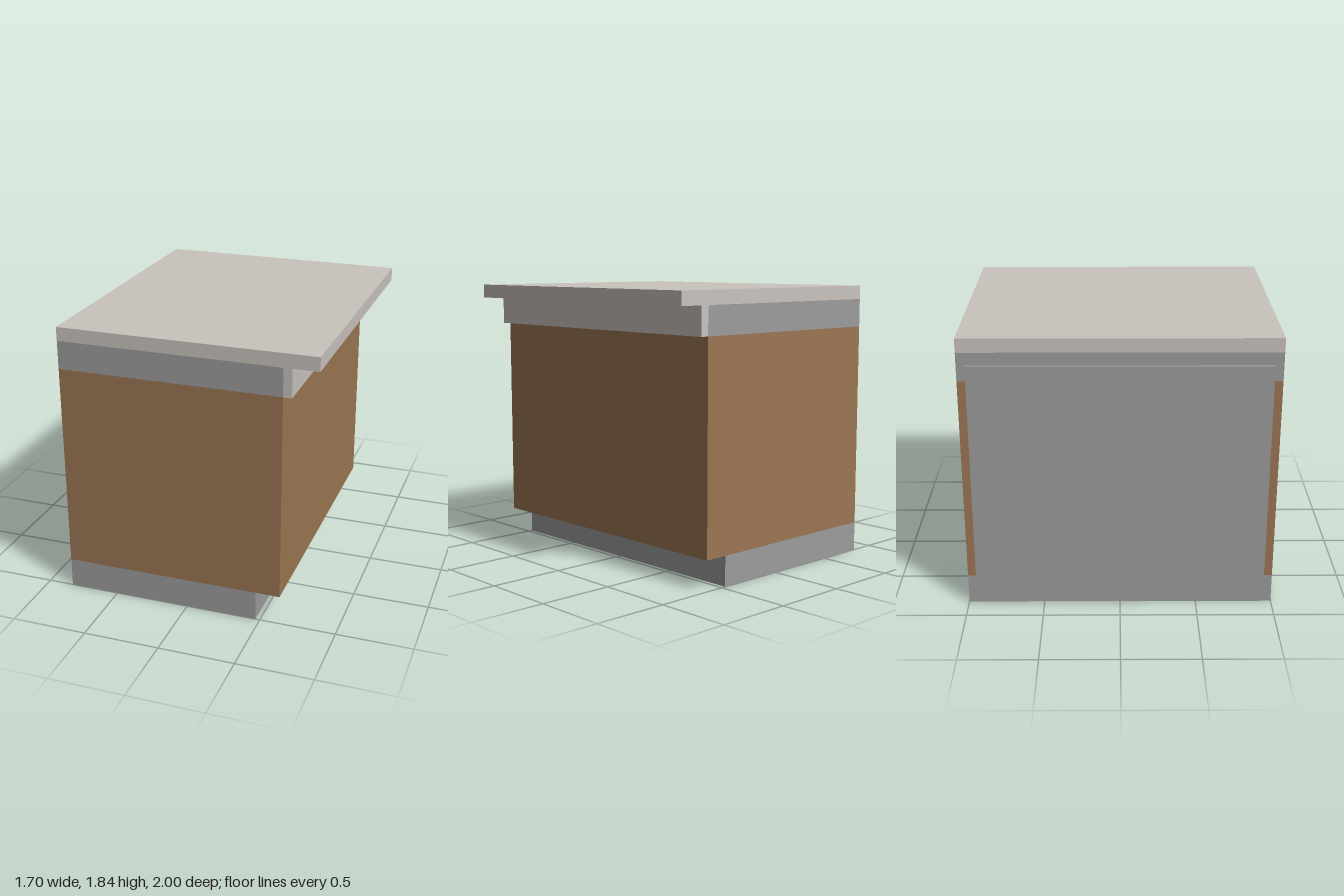
import * as THREE from 'three';

const makeMaterial = (name, color) => {
  const m = new THREE.MeshStandardMaterial({ color });
  m.name = name;
  return m;
};

export function createModel() {
  const wood = makeMaterial('wood brown', 0x9b7653);
  const grey = makeMaterial('mid grey', 0x9c9c9c);
  const stone = makeMaterial('pale stone', 0xc9c3bd);
  const group = new THREE.Group();

  const add = (name, geometry, material) => {
    const mesh = new THREE.Mesh(geometry, material);
    mesh.name = name;
    group.add(mesh);
  };

  // Box given by its limits in x and y and its half depth in z
  const box = (x0, x1, y0, y1, halfZ) =>
    new THREE.BoxGeometry(x1 - x0, y1 - y0, 2 * halfZ)
      .translate((x0 + x1) / 2, (y0 + y1) / 2, 0);

  // Front profile extruded over the full depth
  const extrude = (shape) =>
    new THREE.ExtrudeGeometry(shape, { depth: 2, bevelEnabled: false, curveSegments: 6 })
      .translate(0, 0, -1);

  const back = -0.83, bodyFront = 0.63, lipFront = 0.685, topFront = 0.85;
  const bandBottom = 1.56, slabBottom = 1.745, slabTop = 1.835, fillet = 0.02;

  // Recessed plinth, cabinet body and raised back panel
  add('plinth', box(back, 0.47, 0, 0.197, 1), grey);
  add('cabinetBody', box(back, bodyFront, 0.197, bandBottom, 1), wood);
  add('backPanel', box(back - 0.02, back, 0.097, 1.663, 0.945), grey);

  // Upper rail with one rounded corner under the worktop
  const rail = new THREE.Shape();
  rail.moveTo(back, bandBottom);
  rail.lineTo(bodyFront, bandBottom);
  rail.lineTo(bodyFront, slabBottom - fillet);
  rail.quadraticCurveTo(bodyFront, slabBottom, bodyFront - fillet, slabBottom);
  rail.lineTo(back, slabBottom);
  add('upperRail', extrude(rail), grey);

  // Overhanging worktop with a lip hanging in front of the rail
  const top = new THREE.Shape();
  top.moveTo(back, slabBottom);
  top.lineTo(bodyFront - fillet, slabBottom);
  top.quadraticCurveTo(bodyFront, slabBottom, bodyFront, slabBottom - fillet);
  top.lineTo(bodyFront, bandBottom);
  top.lineTo(lipFront, bandBottom);
  top.lineTo(lipFront, slabBottom);
  top.lineTo(topFront, slabBottom);
  top.lineTo(topFront, slabTop);
  top.lineTo(back, slabTop);
  add('worktop', extrude(top), stone);

  return group;
}
